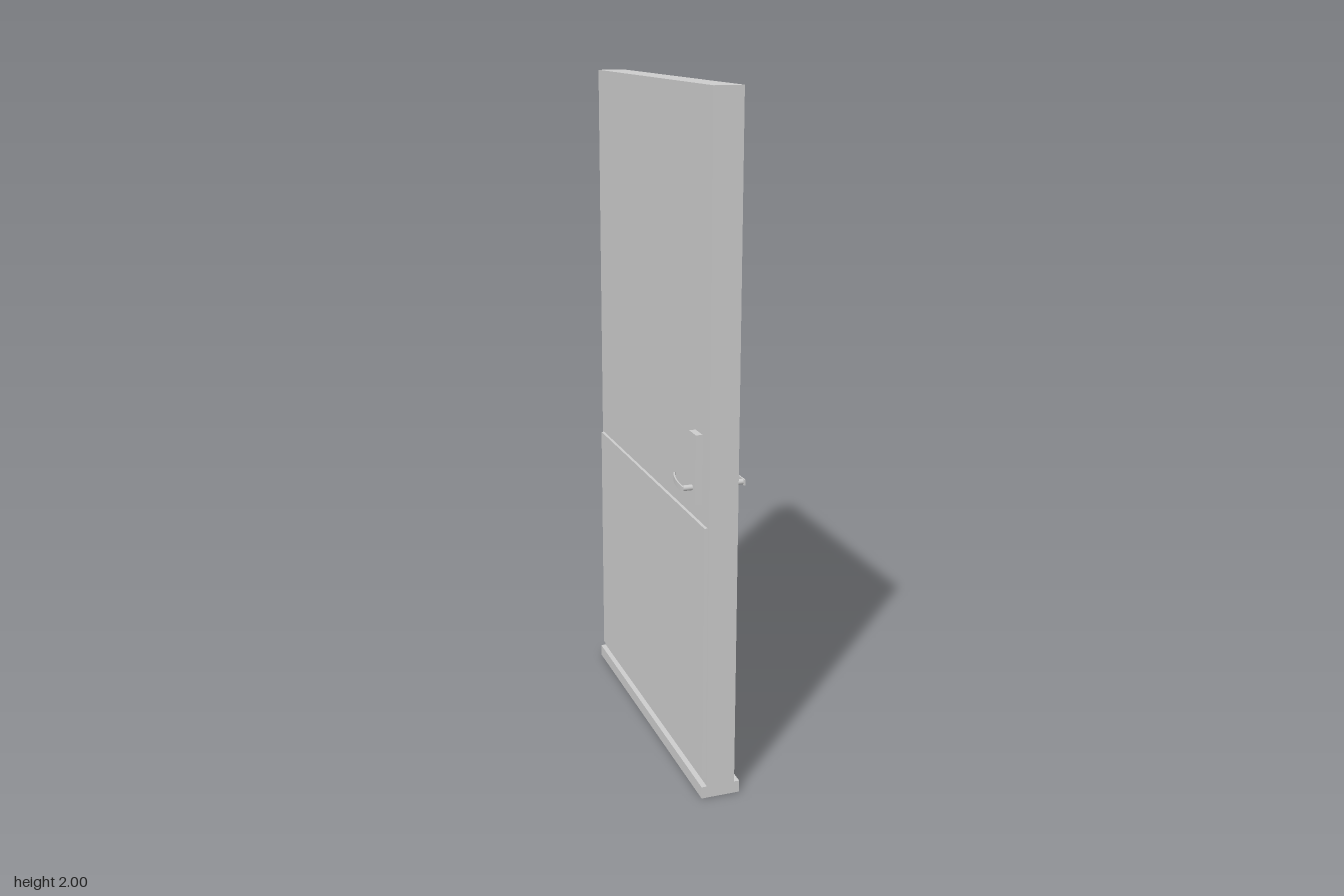
import * as THREE from 'three';

const material = new THREE.MeshStandardMaterial({ color: 0xcccccc });

export function createModel() {
  const model = new THREE.Group();
  model.name = 'door';

  const add = (name, geometry, x, y, z, parent = model) => {
    const mesh = new THREE.Mesh(geometry, material);
    mesh.name = name;
    mesh.position.set(x, y, z);
    parent.add(mesh);
    return mesh;
  };

  // Slab, floor threshold and the protective plate on the right face
  add('doorLeaf', new THREE.BoxGeometry(0.084, 1.964, 1), 0, 1.018, 0);
  add('threshold', new THREE.BoxGeometry(0.116, 0.036, 1), 0, 0.018, 0);
  add('kickPlate', new THREE.BoxGeometry(0.01, 0.765, 0.974), -0.046, 0.4385, 0);

  // One set of handle hardware per face
  const handleY = 0.918, leverHeight = 0.017;
  for (const side of [1, -1]) {
    const handle = new THREE.Group();
    handle.name = side > 0 ? 'leftHandle' : 'rightHandle';
    model.add(handle);

    add('backPlate', new THREE.BoxGeometry(0.02, 0.2, 0.053), side * 0.051, 0.975, 0.415, handle);

    const spindle = new THREE.CylinderGeometry(0.008, 0.008, 0.034, 24).rotateZ(Math.PI / 2);
    add('spindle', spindle, side * 0.075, handleY, 0.413, handle);

    // Thin lever bowing back towards the leaf, drawn in plan and extruded upwards
    const plan = new THREE.Shape();
    plan.moveTo(side * 0.0935, 0.424);
    plan.bezierCurveTo(side * 0.0945, 0.375, side * 0.087, 0.327, side * 0.072, 0.294);
    plan.lineTo(side * 0.068, 0.296);
    plan.bezierCurveTo(side * 0.083, 0.33, side * 0.0905, 0.376, side * 0.0895, 0.424);
    const lever = new THREE.ExtrudeGeometry(plan, {
      depth: leverHeight, bevelEnabled: false, curveSegments: 16,
    }).rotateX(Math.PI / 2);
    add('lever', lever, 0, handleY + leverHeight / 2, 0, handle);
  }

  return model;
}
